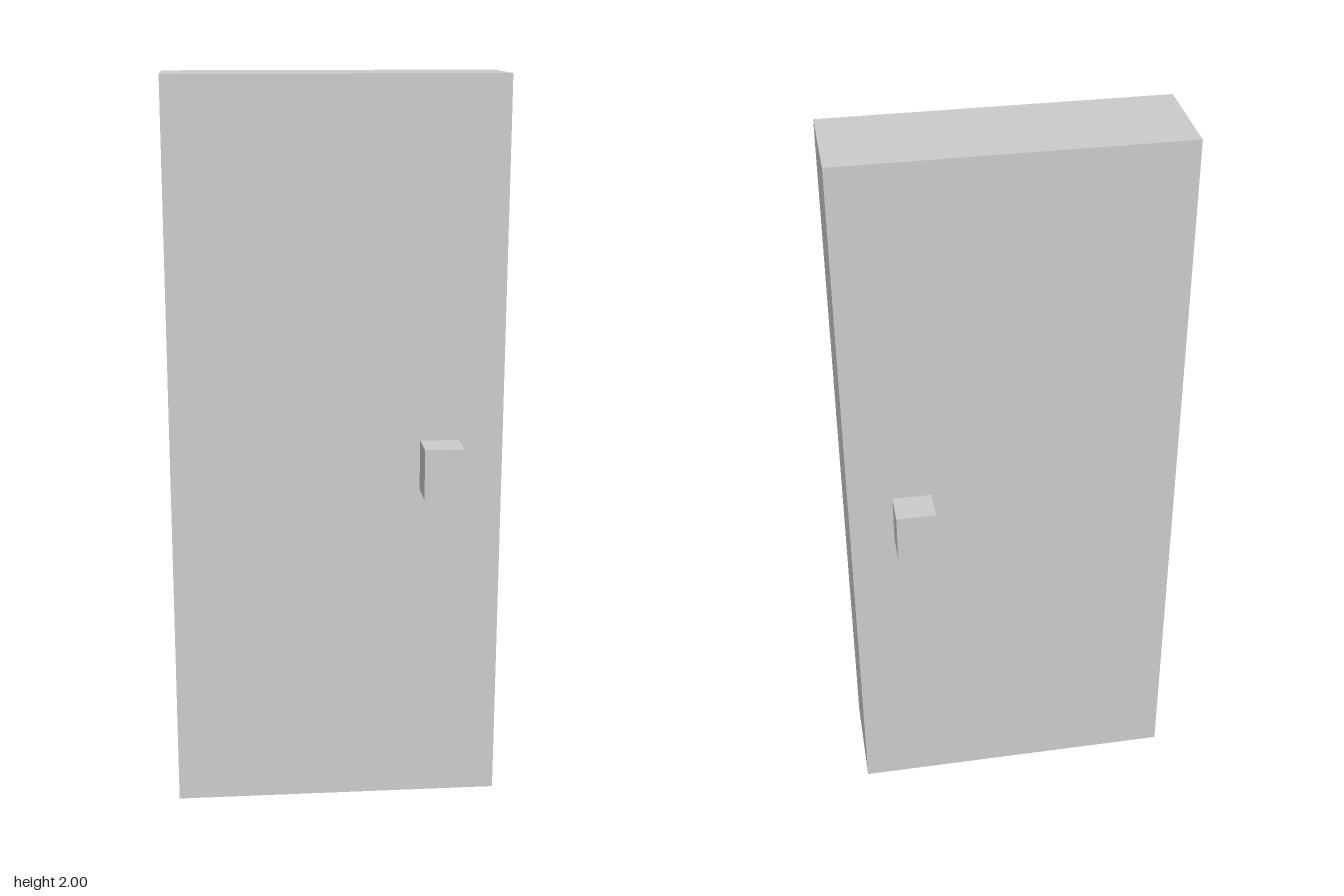
import * as THREE from 'three';

export function createModel() {
  const group = new THREE.Group();
  const material = new THREE.MeshStandardMaterial({ color: 0xcccccc, flatShading: true });

  // Box given by its minimum and maximum corners
  const addBox = (name, min, max) => {
    const size = max.map((v, i) => v - min[i]);
    const mesh = new THREE.Mesh(new THREE.BoxGeometry(...size), material);
    mesh.position.set(...max.map((v, i) => (v + min[i]) / 2));
    mesh.name = name;
    group.add(mesh);
  };

  // Door slab
  const back = -0.141, front = 0.135;
  addBox('doorPanel', [-0.448, 0, back], [0.448, 2, front]);

  // Block knobs on both faces
  addBox('frontKnob', [0.224, 0.9, front], [0.329, 1.037, 0.231]);
  addBox('backKnob', [0.224, 0.9, -0.231], [0.329, 1.037, back]);

  return group;
}
